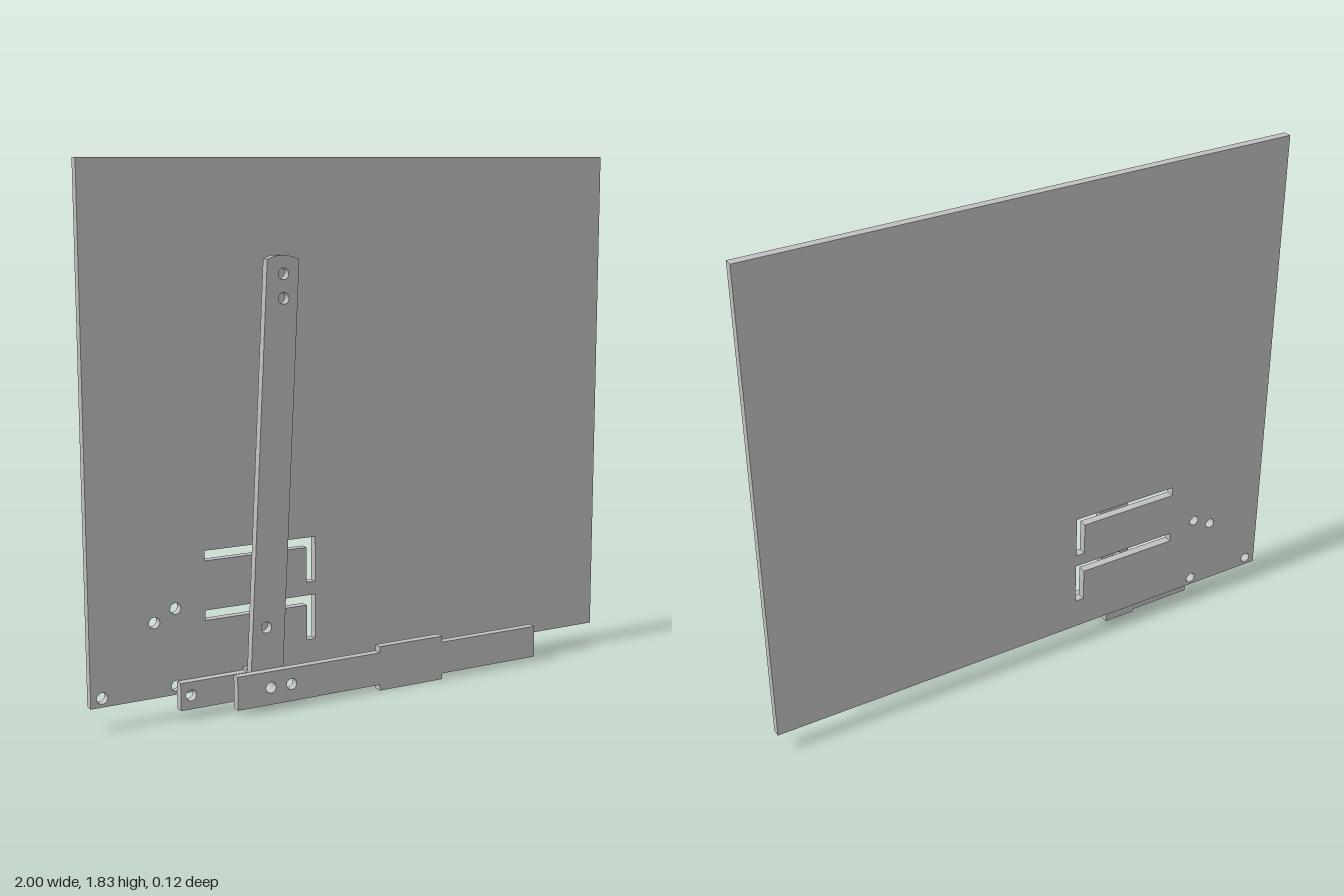
import * as THREE from 'three';

const grey = new THREE.MeshStandardMaterial({ color: 0xc0c0c0 });
grey.name = 'plainGrey';

const T = 0.0305; // sheet thickness shared by all layers

// Flat sheet cut from an outline, with round holes and polygon slots
function sheet(name, outline, z, holes = [], slots = [], depth = T) {
  const toPoints = (list) => list.map(([x, y]) => new THREE.Vector2(x, y));
  const shape = new THREE.Shape(toPoints(outline));
  for (const [x, y] of holes) {
    const hole = new THREE.Path();
    hole.absarc(x, y, 0.019, 0, Math.PI * 2, true);
    shape.holes.push(hole);
  }
  for (const slot of slots) shape.holes.push(new THREE.Path(toPoints(slot)));
  const geometry = new THREE.ExtrudeGeometry(shape, { depth, bevelEnabled: false, curveSegments: 16 });
  const mesh = new THREE.Mesh(geometry, grey);
  mesh.name = name;
  mesh.position.z = z;
  return mesh;
}

// Hooked slot: a long horizontal cut that turns down at its +x end
const hookSlot = (top, bottom) => [
  [-0.594, top], [-0.182, top], [-0.182, bottom],
  [-0.216, bottom], [-0.216, top - 0.034], [-0.594, top - 0.034],
];

export function createModel() {
  const model = new THREE.Group();
  model.name = 'leverMechanism';

  // Large back panel
  model.add(sheet('backPanel',
    [[-1, 0.083], [1, 0.083], [1, 1.83], [-1, 1.83]], -2 * T,
    [[-0.96, 0.113], [-0.7, 0.113], [-0.7, 0.375], [-0.775, 0.337]],
    [hookSlot(0.556, 0.4), hookSlot(0.354, 0.198)]));

  // Short link, wider at its inner end
  model.add(sheet('shortLink',
    [[-0.7, 0.035], [-0.46, 0.035], [-0.46, 0.025], [-0.34, 0.025],
      [-0.34, 0.14], [-0.46, 0.14], [-0.46, 0.129], [-0.7, 0.129]], -T,
    [[-0.663, 0.083]]));

  // Leaning lever arm with a low crowned tip
  model.add(sheet('leverArm',
    [[-0.464, 0.032], [-0.345, 0.028], [-0.268, 1.502],
      [-0.295, 1.513], [-0.325, 1.517], [-0.358, 1.515], [-0.384, 1.505]], 0,
    [[-0.326, 1.457], [-0.326, 1.377], [-0.4, 0.283], [-0.4, 0.083]]));

  // Front slide bar with a wider middle
  model.add(sheet('slideBar',
    [[-0.523, 0.024], [0.02, 0.024], [0.02, 0.003], [0.275, 0.003], [0.275, 0.024], [0.674, 0.024],
      [0.674, 0.139], [0.275, 0.139], [0.275, 0.161], [0.02, 0.161], [0.02, 0.139], [-0.523, 0.139]], T,
    [[-0.4, 0.083], [-0.323, 0.083]]));

  // Two small raised marks beside the arm
  for (const [x0, x1, y] of [[-0.34, -0.29, 0.268], [-0.35, -0.315, 0.198]]) {
    model.add(sheet('guideMark',
      [[x0, y - 0.004], [x1, y - 0.01], [x1, y], [x0, y + 0.006]], -T, [], [], 0.004));
  }
  return model;
}
